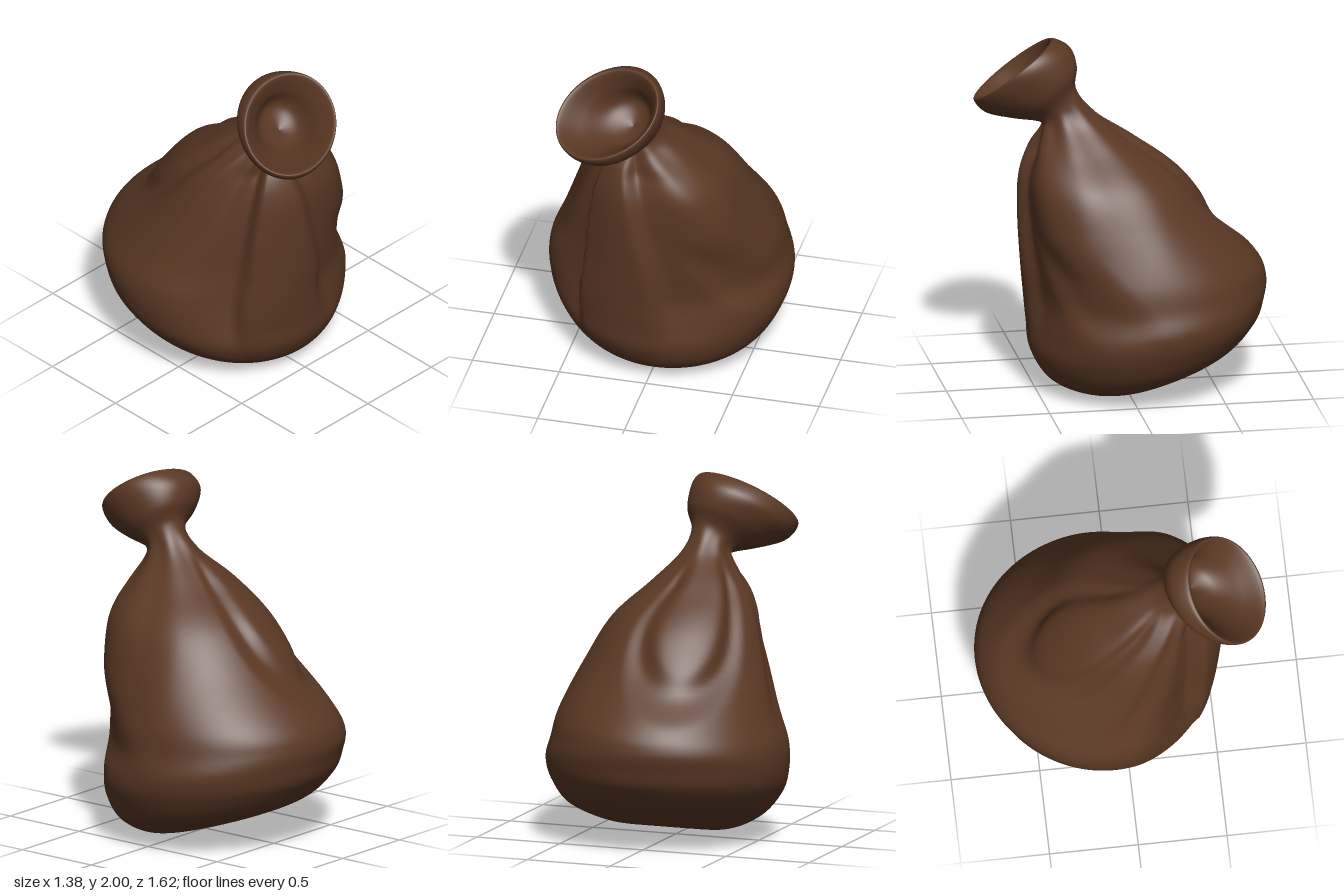
import * as THREE from 'three';

const SIDES = 144, STEPS = 9;

// Each ring: front z, front y, back z, back y, right x, left x
const RINGS = [
  // rounded underside, closed at a point
  [0.00, 0.045, 0.00, 0.045, 0.035, 0.035],
  [0.22, 0.005, -0.25, 0.10, -0.28, 0.35],
  [0.42, 0.07, -0.60, 0.245, -0.51, 0.56],
  // slumped body
  [0.52, 0.22, -0.75, 0.39, -0.645, 0.655],
  [0.54, 0.38, -0.795, 0.51, -0.69, 0.685],
  [0.555, 0.55, -0.81, 0.62, -0.685, 0.65],
  [0.575, 0.75, -0.75, 0.75, -0.62, 0.615],
  [0.59, 1.00, -0.52, 0.99, -0.53, 0.525],
  [0.585, 1.22, -0.31, 1.24, -0.44, 0.41],
  [0.53, 1.38, -0.06, 1.43, -0.34, 0.23],
  [0.46, 1.49, 0.15, 1.59, -0.22, 0.08],
  // tied neck
  [0.46, 1.535, 0.25, 1.72, -0.205, 0.04],
  // flared mouth
  [0.60, 1.55, 0.24, 1.84, -0.34, 0.085],
  [0.73, 1.57, 0.265, 1.93, -0.45, 0.10],
  [0.79, 1.615, 0.33, 1.975, -0.49, 0.10],
  [0.795, 1.655, 0.38, 1.975, -0.48, 0.08],
  // inside of the mouth, closed at the tie
  [0.68, 1.63, 0.365, 1.87, -0.37, 0.035],
  [0.52, 1.60, 0.32, 1.75, -0.235, 0.00],
  [0.39, 1.63, 0.39, 1.63, -0.10, -0.10],
];
const NECK = 11, RIM = 15, LAST = RINGS.length - 1;

const { smoothstep: smooth, clamp } = THREE.MathUtils;
const band = (y, a, b, c, d) => smooth(y, a, b) * (1 - smooth(y, c, d));
const wrap = (a) => Math.atan2(Math.sin(a), Math.cos(a));

// Valley at angle c; it fades over wl on the lower-angle side and wr on the other
function valley(angle, c, wl, wr) {
  const d = wrap(angle - c);
  return 1 - smooth(Math.abs(d), 0, d < 0 ? wl : wr);
}

// Cloth folds: depth of the surface below the plain ring, fading out at the neck
function folds(a, y, ring) {
  const t = smooth(y, 0.5, 1.4);
  const tongue = band(y, 0.15, 0.6, 1.35, 1.52);
  const upper = band(y, 0.6, 1.0, 1.38, 1.55);
  let d = 0;
  // raised panel down the front, creased on one edge
  d += 0.085 * tongue * valley(a, -0.70 - 0.2 * t, 0.65, 0.10);
  d += 0.06 * tongue * valley(a, 0.28 - 0.3 * t, 0.25, 0.75);
  // oval lobe on the back, ringed by a groove
  const oval = Math.hypot(wrap(a + 2.72) / 0.62, (y - 1.3) / 0.42);
  const lobe = band(y, 0.6, 0.8, 1.4, 1.6);
  d += 0.035 * lobe * (1 - smooth(Math.abs(oval - 1), 0, 0.35));
  d -= 0.02 * lobe * (1 - smooth(oval, 0.5, 1));
  // slanting folds on the two sides
  d += 0.02 * band(y, 0.6, 0.95, 1.3, 1.5) * valley(a, 1.2 + 0.5 * t, 0.5, 0.5);
  d += 0.035 * band(y, 0.35, 0.6, 0.7, 1.0) * valley(a, 1.5 - y, 0.35, 0.6);
  d += 0.03 * upper * valley(a, -1.45, 0.2, 0.3);
  // gathers below the tie
  d += 0.006 * band(y, 1.3, 1.45, 1.6, 1.75) * (1 + Math.cos(7 * a));
  return d * (1 - smooth(ring, NECK - 1, NECK + 1));
}

// Catmull-Rom blend between neighbouring rings
function ringAt(ring) {
  const i = Math.min(Math.floor(ring), LAST - 1), t = ring - i;
  const [p, q, r, s] = [i - 1, i, i + 1, i + 2].map((k) => RINGS[clamp(k, 0, LAST)]);
  return q.map((v, k) => v + 0.5 * t * (r[k] - p[k]
    + t * (2 * p[k] - 5 * v + 4 * r[k] - s[k] + t * (3 * (v - r[k]) + s[k] - p[k]))));
}

// Faces between two rings
function strip(from, to) {
  const index = [];
  for (let i = from * STEPS; i < to * STEPS; i++) {
    for (let j = 0; j < SIDES; j++) {
      const a = i * SIDES + j, b = i * SIDES + (j + 1) % SIDES;
      const c = a + SIDES, d = b + SIDES;
      index.push(a, b, c, b, d, c);
    }
  }
  return index;
}

export function createModel() {
  const group = new THREE.Group();
  group.name = 'sack';
  const cloth = new THREE.MeshStandardMaterial({ color: 0x5a3824 });
  cloth.name = 'brown cloth';

  const positions = [];
  for (let i = 0; i <= LAST * STEPS; i++) {
    const ring = i / STEPS;
    const [zf, yf, zb, yb, xr, xl] = ringAt(ring);
    const hx = (xl - xr) / 2, hz = (zf - zb) / 2, hy = (yf - yb) / 2;
    // the mouth tips towards its right
    const roll = 0.075 * band(ring, NECK - 2, RIM - 1, RIM, LAST);
    for (let j = 0; j < SIDES; j++) {
      const a = (j / SIDES) * Math.PI * 2, s = Math.sin(a), c = Math.cos(a);
      const y = (yf + yb) / 2 + c * hy + s * roll;
      const k = 1 - folds(a, y, ring) / Math.max(0.15, Math.hypot(hx * s, hz * c));
      positions.push((xl + xr) / 2 + s * hx * k, y, (zf + zb) / 2 + c * hz * k);
    }
  }

  // One smooth skin, shared by the parts so that no seams show
  const skin = new THREE.BufferGeometry();
  skin.setAttribute('position', new THREE.Float32BufferAttribute(positions, 3));
  skin.setIndex(strip(0, LAST));
  skin.computeVertexNormals();

  const parts = [['body', 0, NECK - 1], ['neck', NECK - 1, NECK + 1], ['mouth', NECK + 1, RIM], ['mouthInside', RIM, LAST]];
  for (const [name, from, to] of parts) {
    const geometry = skin.clone();
    geometry.setIndex(strip(from, to));
    const mesh = new THREE.Mesh(geometry, cloth);
    mesh.name = name;
    group.add(mesh);
  }
  return group;
}
